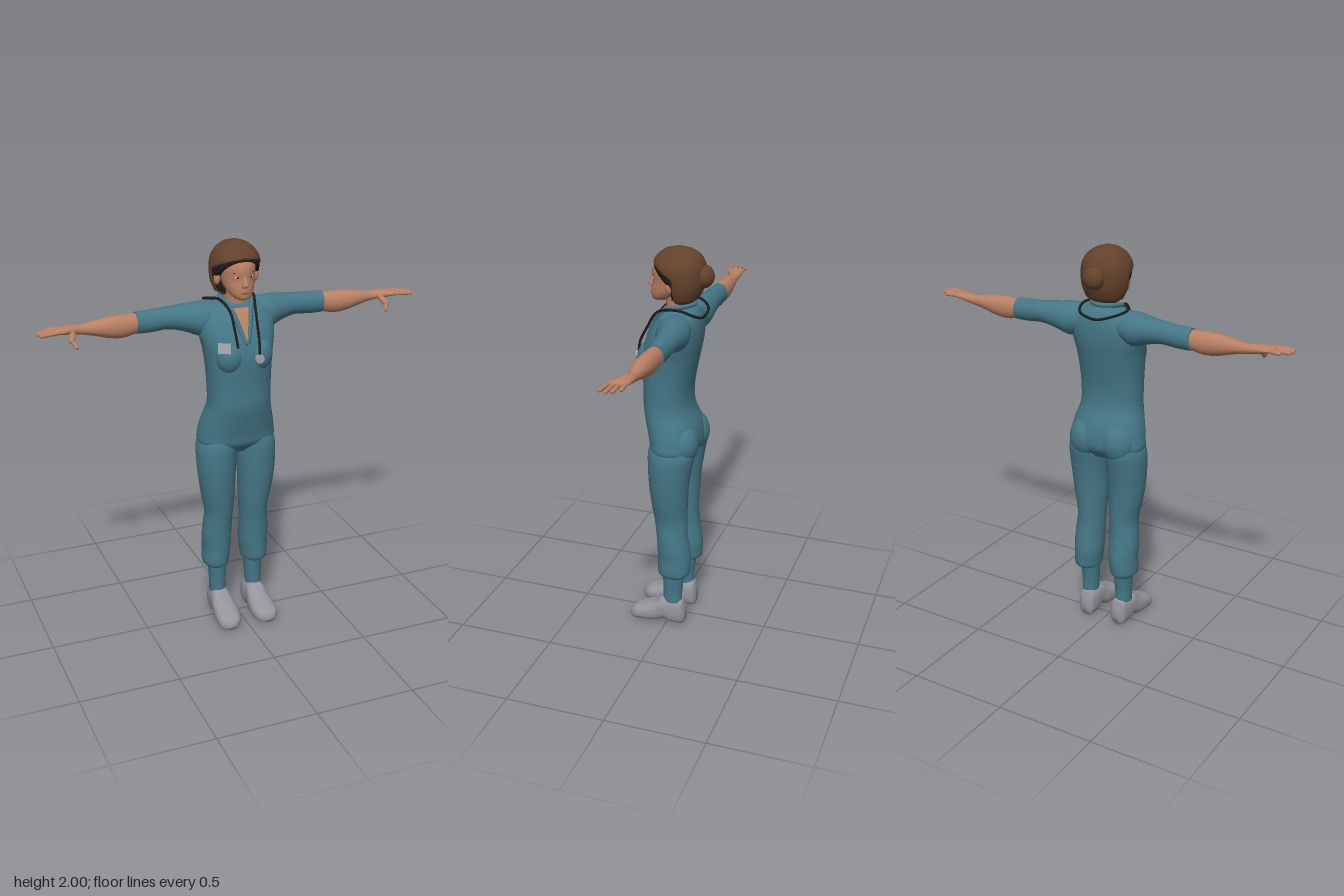
import * as THREE from 'three';
import { toCreasedNormals } from 'three/addons/utils/BufferGeometryUtils.js';

const paint = (name, color) => Object.assign(new THREE.MeshStandardMaterial({ color }), { name });

// Values of a section list [t, lo1, hi1, lo2, hi2] at t, smoothly interpolated
function sample(secs, t) {
  let i = 0;
  while (i < secs.length - 2 && t > secs[i + 1][0]) i++;
  const at = k => secs[Math.min(Math.max(k, 0), secs.length - 1)];
  const [p, a, b, q] = [at(i - 1), at(i), at(i + 1), at(i + 2)];
  const u = (t - a[0]) / (b[0] - a[0]);
  return [1, 2, 3, 4].map(k => a[k] + 0.5 * u * (b[k] - p[k] + u * (2 * p[k] - 5 * a[k] + 4 * b[k] - q[k]
    + u * (3 * (a[k] - b[k]) + q[k] - p[k]))));
}

// Skin over rounded sections along an axis; side = -1 mirrors in x.
// Extents: axis x -> y, z; axis y -> z, x; axis z -> x, y
function loft(axis, secs, { n = 28, power = 2, side = 1, steps = 4, fix } = {}) {
  const pos = [], idx = [], e1 = (axis + 1) % 3, e2 = (axis + 2) % 3;
  const ts = [];
  secs.forEach((s, i) => {
    if (i) for (let k = 1; k <= steps; k++) ts.push(secs[i - 1][0] + (s[0] - secs[i - 1][0]) * k / steps);
    else ts.push(s[0]);
  });
  const mirrorAxis = axis === 0 && side < 0;
  if (mirrorAxis) ts.reverse();
  const add = (t, a, b) => {
    const p = [0, 0, 0];
    p[axis] = t; p[e1] = a; p[e2] = b;
    if (mirrorAxis) p[0] *= -1;
    if (fix) fix(p);
    pos.push(...p);
  };
  const mid = t => {
    const v = sample(secs, t);
    return [(v[0] + v[1]) / 2 * (e1 === 0 ? side : 1), (v[2] + v[3]) / 2 * (e2 === 0 ? side : 1),
      Math.abs(v[1] - v[0]) / 2, Math.abs(v[3] - v[2]) / 2];
  };
  const curve = c => Math.sign(c) * Math.abs(c) ** (2 / power);
  for (const t of ts) {
    const [c1, c2, r1, r2] = mid(t);
    for (let j = 0; j < n; j++) {
      const a = j / n * Math.PI * 2;
      add(t, c1 + r1 * curve(Math.cos(a)), c2 + r2 * curve(Math.sin(a)));
    }
  }
  const last = ts.length - 1, c0 = ts.length * n;
  for (const t of [ts[0], ts[last]]) add(t, ...mid(t).slice(0, 2));
  for (let j = 0; j < n; j++) {
    const k = (j + 1) % n;
    for (let i = 0; i < last; i++) {
      const a = i * n + j, b = i * n + k;
      idx.push(a, b, b + n, a, b + n, a + n);
    }
    idx.push(c0, k, j, c0 + 1, last * n + j, last * n + k);
  }
  const g = new THREE.BufferGeometry();
  g.setAttribute('position', new THREE.Float32BufferAttribute(pos, 3));
  g.setIndex(idx);
  return toCreasedNormals(g, 1);
}

// Body sections: [y, back, front, right, left]
const torso = [[0.94, -0.1, 0.05, -0.12, 0.12], [0.99, -0.14, 0.095, -0.195, 0.195], [1.04, -0.147, 0.106, -0.197, 0.197],
  [1.11, -0.135, 0.122, -0.183, 0.183], [1.2, -0.1, 0.14, -0.16, 0.16], [1.3, -0.096, 0.14, -0.16, 0.16],
  [1.4, -0.112, 0.146, -0.165, 0.165], [1.48, -0.128, 0.145, -0.174, 0.174], [1.55, -0.14, 0.125, -0.187, 0.187],
  [1.62, -0.142, 0.09, -0.185, 0.185], [1.67, -0.135, 0.058, -0.15, 0.15], [1.7, -0.12, 0.035, -0.1, 0.1],
  [1.718, -0.1, 0.01, -0.06, 0.06]];
const chestPower = 2.3;
function chestZ(x, y) {
  const [b, f, , w] = sample(torso, y);
  return (b + f) / 2 + (f - b) / 2 * Math.max(0, 1 - Math.abs(x / w) ** chestPower) ** (1 / chestPower);
}

export function createModel() {
  const scrubs = paint('teal cloth', 0x457787), skin = paint('skin', 0xb98063), hair = paint('brown hair', 0x63422b),
    dark = paint('black', 0x1f1c1b), shoeGrey = paint('shoe grey', 0x94949b), metal = paint('badge grey', 0xa3a6aa),
    eyeWhite = paint('eye white', 0xc9c0b8), lipRed = paint('lips', 0xa0604f);
  const model = new THREE.Group();
  const put = (name, geo, mat) => {
    const m = new THREE.Mesh(geo, mat);
    m.name = name;
    model.add(m);
    return m;
  };
  const V = (x, y, z) => new THREE.Vector3(x, y, z);
  const ball = (name, mat, [x, y, z], [a, b, c]) =>
    put(name, new THREE.SphereGeometry(1, 20, 14).scale(a, b, c).translate(x, y, z), mat);
  const bone = (name, mat, a, b, r) => {
    const d = b.clone().sub(a), m = put(name, new THREE.CapsuleGeometry(r, d.length(), 5, 10), mat);
    m.position.copy(a).add(b).multiplyScalar(0.5);
    m.quaternion.setFromUnitVectors(V(0, 1, 0), d.normalize());
  };
  const tube = (name, mat, pts, r, closed = false) =>
    put(name, new THREE.TubeGeometry(new THREE.CatmullRomCurve3(pts, closed), 80, r, 8, closed), mat);

  put('torso', loft(1, torso, { n: 40, power: chestPower }), scrubs);

  for (const side of [1, -1]) {
    const s = side, label = s > 0 ? 'left ' : 'right ';
    // Body curves
    ball(label + 'bust', scrubs, [s * 0.075, 1.46, 0.09], [0.07, 0.085, 0.067]);
    ball(label + 'buttock', scrubs, [s * 0.09, 1.03, -0.075], [0.088, 0.105, 0.082]);

    // Trouser leg, ankle and shoe
    put(label + 'trouserLeg', loft(1, [[0.285, -0.1, 0.025, 0.055, 0.16], [0.3, -0.118, 0.043, 0.04, 0.174],
      [0.33, -0.122, 0.046, 0.036, 0.177], [0.39, -0.125, 0.047, 0.028, 0.175], [0.45, -0.117, 0.05, 0.026, 0.178],
      [0.52, -0.106, 0.055, 0.025, 0.174], [0.6, -0.103, 0.066, 0.022, 0.168], [0.7, -0.106, 0.08, 0.015, 0.186],
      [0.8, -0.112, 0.09, 0.011, 0.2], [0.9, -0.127, 0.095, 0.004, 0.207], [0.98, -0.14, 0.095, 0.0, 0.203],
      [1.05, -0.13, 0.08, 0.01, 0.17]], { side }), scrubs);
    put(label + 'ankleCuff', loft(1, [[0.13, -0.08, 0.02, 0.06, 0.142], [0.2, -0.08, 0.02, 0.056, 0.143],
      [0.32, -0.095, 0.025, 0.05, 0.15]], { side }), scrubs);
    put(label + 'shoe', loft(2, [[-0.096, 0.07, 0.12, 0.015, 0.1], [-0.085, 0.055, 0.137, 0, 0.142],
      [-0.04, 0.047, 0.145, 0, 0.152], [-0.015, 0.047, 0.148, 0.004, 0.152], [0.0, 0.047, 0.149, 0.016, 0.152],
      [0.025, 0.045, 0.152, 0.014, 0.146], [0.06, 0.038, 0.158, 0.002, 0.115], [0.12, 0.034, 0.163, 0, 0.09],
      [0.165, 0.044, 0.16, 0, 0.075], [0.19, 0.065, 0.143, 0.004, 0.056], [0.2, 0.085, 0.125, 0.015, 0.04]],
      { side, power: 2.7 }), shoeGrey);

    // Sleeve, bare arm and hand: [x, bottom, top, back, front]
    put(label + 'sleeve', loft(0, [[0.08, 1.58, 1.7, -0.12, 0.02], [0.17, 1.54, 1.707, -0.137, 0.03],
      [0.25, 1.565, 1.7, -0.136, 0.0], [0.33, 1.582, 1.692, -0.13, -0.022], [0.42, 1.576, 1.687, -0.125, -0.03],
      [0.485, 1.576, 1.684, -0.123, -0.035]], { side }), scrubs);
    put(label + 'arm', loft(0, [[0.46, 1.584, 1.676, -0.117, -0.041], [0.55, 1.567, 1.678, -0.115, -0.032],
      [0.62, 1.574, 1.676, -0.113, -0.029], [0.69, 1.593, 1.666, -0.107, -0.036], [0.75, 1.606, 1.656, -0.1, -0.048],
      [0.79, 1.613, 1.658, -0.102, -0.038], [0.84, 1.622, 1.659, -0.102, -0.018], [0.875, 1.628, 1.656, -0.098, -0.012],
      [0.89, 1.634, 1.65, -0.09, -0.02]], { side }), skin);
    [[-0.02, 0.955, -0.008], [-0.043, 0.963, -0.037], [-0.066, 0.953, -0.063], [-0.088, 0.92, -0.091]].forEach(([z0, x, z], i) =>
      bone(label + 'finger ' + (i + 1), skin, V(s * 0.865, 1.643, z0), V(s * x, 1.64, z), 0.0095));
    bone(label + 'thumb base', skin, V(s * 0.8, 1.628, -0.045), V(s * 0.815, 1.602, -0.005), 0.015);
    bone(label + 'thumb tip', skin, V(s * 0.815, 1.602, -0.005), V(s * 0.8, 1.578, 0.025), 0.01);

    // Face details
    ball(label + 'ear', skin, [s * 0.098, 1.825, -0.012], [0.016, 0.033, 0.02]);
    ball(label + 'eye', eyeWhite, [s * 0.034, 1.846, 0.0905], [0.014, 0.0055, 0.006]);
    ball(label + 'iris', dark, [s * 0.034, 1.846, 0.0955], [0.005, 0.005, 0.0025]);
    bone(label + 'eyebrow', hair, V(s * 0.02, 1.864, 0.098), V(s * 0.05, 1.866, 0.083), 0.003);
  }

  // Neck and head
  put('neck', loft(1, [[1.64, -0.1, 0.045, -0.07, 0.07], [1.7, -0.09, 0.035, -0.053, 0.053],
    [1.75, -0.085, 0.04, -0.05, 0.05], [1.8, -0.08, 0.05, -0.05, 0.05]]), skin);
  put('head', loft(1, [[1.732, 0.05, 0.09, -0.02, 0.02], [1.74, 0.02, 0.105, -0.038, 0.038], [1.76, -0.02, 0.109, -0.057, 0.057],
    [1.79, -0.07, 0.108, -0.072, 0.072], [1.83, -0.11, 0.103, -0.082, 0.082], [1.88, -0.12, 0.104, -0.088, 0.088],
    [1.92, -0.12, 0.088, -0.085, 0.085], [1.96, -0.1, 0.045, -0.06, 0.06], [1.98, -0.06, 0.0, -0.02, 0.02]]), skin);
  put('nose', loft(1, [[1.796, 0.09, 0.112, -0.012, 0.012], [1.804, 0.085, 0.126, -0.017, 0.017],
    [1.815, 0.085, 0.125, -0.013, 0.013], [1.855, 0.08, 0.106, -0.008, 0.008]]), skin);
  ball('mouth', lipRed, [0, 1.773, 0.107], [0.024, 0.007, 0.006]);

  // Hair cap cut back around the face, with a darker layer under it and a bun
  const cap = [[1.735, -0.1, 0, -0.065, 0.065], [1.755, -0.125, 0.03, -0.095, 0.095], [1.81, -0.15, 0.07, -0.117, 0.117],
    [1.87, -0.158, 0.098, -0.124, 0.124], [1.92, -0.155, 0.099, -0.117, 0.117], [1.96, -0.135, 0.075, -0.092, 0.092],
    [1.985, -0.1, 0.04, -0.058, 0.058], [2.0, -0.05, -0.01, -0.015, 0.015]];
  const cutAt = (top, slope, back) => p => {
    if (p[1] < top) p[2] = Math.min(p[2], Math.max(back, 0.1 - (top - p[1]) * slope));
  };
  put('hair', loft(1, cap, { n: 48, steps: 6, fix: cutAt(1.932, 2, -0.03) }), hair);
  const under = cap.map(([y, b, f, r, l]) => [1.87 + (y - 1.87) * 0.96, b * 0.95, f * 0.95, r * 0.94, l * 0.94]);
  put('underHair', loft(1, under, { n: 48, steps: 6, fix: cutAt(1.925, 1.15, -0.018) }), dark);
  ball('hairBun', hair, [0, 1.865, -0.15], [0.056, 0.056, 0.05]);

  // Open neckline: bare skin on the chest with a cloth collar round it
  const neckline = new THREE.PlaneGeometry(2, 1, 8, 14), p = neckline.attributes.position;
  for (let i = 0; i < p.count; i++) {
    const h = p.getY(i) + 0.5, y = 1.535 + 0.15 * h, x = p.getX(i) * (0.004 + 0.042 * h);
    p.setXYZ(i, x, y, chestZ(x, y) + 0.006);
  }
  neckline.computeVertexNormals();
  put('necklineSkin', neckline, skin);
  const edge = s => [V(s * 0.026, 1.6, chestZ(0.026, 1.6)), V(s * 0.047, 1.67, 0.058), V(s * 0.072, 1.71, 0.0)];
  tube('collar', scrubs, [V(0, 1.53, chestZ(0, 1.53) - 0.003), ...edge(1), V(0.06, 1.725, -0.07), V(0, 1.728, -0.105),
    V(-0.06, 1.725, -0.07), ...edge(-1).reverse()], 0.012, true);

  // Stethoscope draped round the neck
  tube('stethoscopeTube', dark, [V(-0.055, 1.52, 0.155), V(-0.058, 1.6, 0.117), V(-0.063, 1.68, 0.066), V(-0.09, 1.722, -0.01),
    V(-0.14, 1.712, -0.08), V(-0.09, 1.69, -0.145), V(0, 1.668, -0.153), V(0.085, 1.69, -0.14), V(0.105, 1.718, -0.06),
    V(0.07, 1.69, 0.058), V(0.06, 1.6, 0.117), V(0.055, 1.53, 0.152), V(0.052, 1.47, 0.163)], 0.0065);
  put('stethoscopeDisc', new THREE.CylinderGeometry(0.022, 0.022, 0.014, 20).rotateX(Math.PI / 2).translate(0.052, 1.458, 0.165), metal);

  // Name badge clipped on the chest
  const badge = put('badge', new THREE.BoxGeometry(0.062, 0.05, 0.008), metal);
  badge.position.set(-0.118, 1.522, 0.138);
  badge.rotation.set(-0.2, -0.45, -0.1);
  return model;
}
